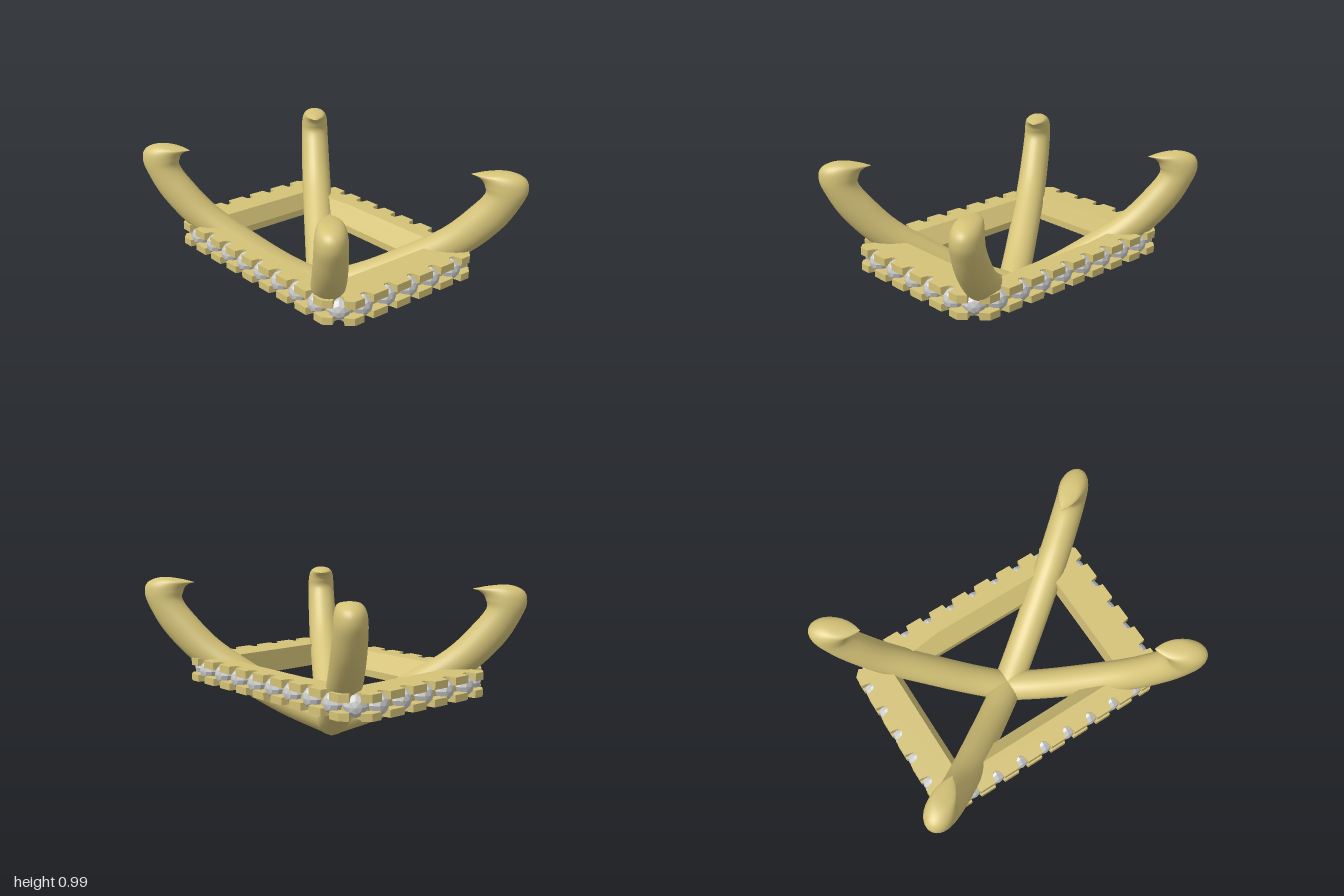
import * as THREE from 'three';

const gold = new THREE.MeshStandardMaterial({ color: 0xd4c277 });
const goldFlat = new THREE.MeshStandardMaterial({ color: 0xd4c277, flatShading: true });
const stone = new THREE.MeshStandardMaterial({ color: 0xcccccc, flatShading: true });

const HX = 0.59, HZ = 0.84, CUT = 0.13;     // frame half sizes and corner cut
const BOTTOM = 0.33, TOP = 0.48;

// Corners of the cut-corner rectangle, counter-clockwise, pulled in by d
function octagon(d) {
  const x = HX - d, y = HZ - d, c = CUT - d * 0.59;
  return [[x, -y + c], [x, y - c], [x - c, y], [-x + c, y],
    [-x, y - c], [-x, -y + c], [-x + c, -y], [x - c, -y]].map(p => new THREE.Vector2(...p));
}

// Stone seats: point on the edge, edge direction and outward normal
function seats() {
  const corners = octagon(0), list = [];
  corners.forEach((a, i) => {
    const b = corners[(i + 1) % 8];
    const dir = b.clone().sub(a).normalize();
    const out = new THREE.Vector2(dir.y, -dir.x);
    const [n, gap] = i % 2 ? [1, 0] : i % 4 ? [5, 0.178] : [8, 0.172];
    for (let k = 0; k < n; k++) {
      const p = a.clone().lerp(b, 0.5).addScaledVector(dir, (k - (n - 1) / 2) * gap);
      list.push({ edge: i, p, dir, out });
    }
  });
  return list;
}

// Outline with a U-shaped notch at each seat
function notchedOutline(all) {
  const pts = [];
  octagon(0).forEach((c, i) => {
    pts.push(c);
    all.filter(s => s.edge === i).forEach(({ p, dir, out }) => {
      const at = (u, v) => pts.push(p.clone().addScaledVector(dir, u).addScaledVector(out, -v));
      at(-0.034, 0);
      for (let k = 0; k <= 6; k++) {
        const t = Math.PI * k / 6;
        at(-0.028 * Math.cos(t), 0.034 + 0.028 * Math.sin(t));
      }
      at(0.034, 0);
    });
  });
  return pts;
}

// One level of the frame; the upper part of the opening flares outward
function layer(name, outline, y0, y1) {
  const shape = new THREE.Shape(outline);
  const hx = 0.35, hz = 0.588;
  shape.holes.push(new THREE.Path([[-hx, -hz], [-hx, hz], [hx, hz], [hx, -hz]]
    .map(p => new THREE.Vector2(...p))));
  const geo = new THREE.ExtrudeGeometry(shape, { depth: y1 - y0, bevelEnabled: false });
  geo.rotateX(-Math.PI / 2).translate(0, y0, 0);
  const pos = geo.attributes.position;
  for (let i = 0; i < pos.count; i++) {
    const x = pos.getX(i), z = pos.getZ(i);
    if (Math.abs(x) > hx + 0.001 || Math.abs(z) > hz + 0.001) continue;
    const f = Math.max(0, (pos.getY(i) - 0.375) / (TOP - 0.375));
    pos.setX(i, x + Math.sign(x) * 0.09 * f);
    if (z < 0) pos.setZ(i, z - 0.04 * f);
  }
  geo.computeVertexNormals();
  const mesh = new THREE.Mesh(geo, goldFlat);
  mesh.name = name;
  return mesh;
}

// Claw profile in its own vertical plane: outer edge, inner edge, half width
const PROFILE = [
  [0, 0, 0, 0.2, 0.1],
  [0.29, 0.12, 0.21, 0.285, 0.1],
  [0.55, 0.26, 0.45, 0.42, 0.1],
  [0.84, 0.435, 0.7, 0.585, 0.1],
  [1.035, 0.63, 0.86, 0.75, 0.097],
  [1.14, 0.81, 0.93, 0.845, 0.093],
  [1.165, 0.9, 0.925, 0.9, 0.09],
  [1.14, 0.96, 0.91, 0.93, 0.082],
  [1.06, 0.99, 0.885, 0.95, 0.065],
  [0.95, 0.983, 0.865, 0.957, 0.035],
  [0.85, 0.964, 0.85, 0.96, 0.001],
];

// Curved claw swept from the middle out to its hooked tip
function claw(dx, dz) {
  const curve = (a, b) => new THREE.CatmullRomCurve3(
    PROFILE.map(p => new THREE.Vector3(p[a], p[b], p[4])), false, 'catmullrom');
  const outer = curve(0, 1), inner = curve(2, 3);
  const len = Math.hypot(dx, dz), rings = 60, sides = 28;
  const pos = [], idx = [];
  for (let i = 0; i <= rings; i++) {
    const o = outer.getPoint(i / rings), n = inner.getPoint(i / rings);
    for (let j = 0; j < sides; j++) {
      const t = 2 * Math.PI * j / sides, c = Math.cos(t), s = Math.sin(t) * o.z / len;
      const r = (o.x + n.x) / 2 + c * (o.x - n.x) / 2;
      const y = (o.y + n.y) / 2 + c * (o.y - n.y) / 2;
      pos.push(r * dx + s * dz, y, r * dz - s * dx);
      if (i < rings) {
        const a = i * sides + j, b = i * sides + (j + 1) % sides;
        idx.push(a, b, a + sides, b, b + sides, a + sides);
      }
    }
  }
  const geo = new THREE.BufferGeometry();
  geo.setAttribute('position', new THREE.Float32BufferAttribute(pos, 3));
  geo.setIndex(idx);
  geo.computeVertexNormals();
  return new THREE.Mesh(geo, gold);
}

export function createModel() {
  const model = new THREE.Group();
  model.name = 'clawSetting';
  const body = new THREE.Group();
  body.name = 'setting';
  body.position.set(-0.01, 0, -0.04);
  model.add(body);

  // Frame: two notched plates around a recessed core
  const all = seats(), outline = notchedOutline(all);
  const frame = new THREE.Group();
  frame.name = 'frame';
  frame.add(
    layer('lowerPlate', outline, BOTTOM, 0.375),
    layer('core', octagon(0.065), 0.375, 0.432),
    layer('upperPlate', outline, 0.432, TOP));
  body.add(frame);

  // Faceted stones set around the rim, facing outward
  const gemGeo = new THREE.SphereGeometry(0.074, 8, 6).rotateX(Math.PI / 2);
  const stones = new THREE.Group();
  stones.name = 'rimStones';
  all.forEach(({ p, out }) => {
    const gem = new THREE.Mesh(gemGeo, stone);
    gem.name = 'rimStone';
    gem.position.set(p.x - out.x * 0.077, 0.404, -(p.y - out.y * 0.077));
    gem.rotation.y = Math.atan2(out.x, -out.y);
    stones.add(gem);
  });
  body.add(stones);

  // Four claws meeting at the bottom
  const claws = {
    backRightClaw: [-0.612, -0.815], backLeftClaw: [0.605, -0.815],
    frontRightClaw: [-0.612, 0.812], frontLeftClaw: [0.625, 0.88],
  };
  for (const [name, [dx, dz]] of Object.entries(claws)) {
    const mesh = claw(dx, dz);
    mesh.name = name;
    body.add(mesh);
  }
  return model;
}
